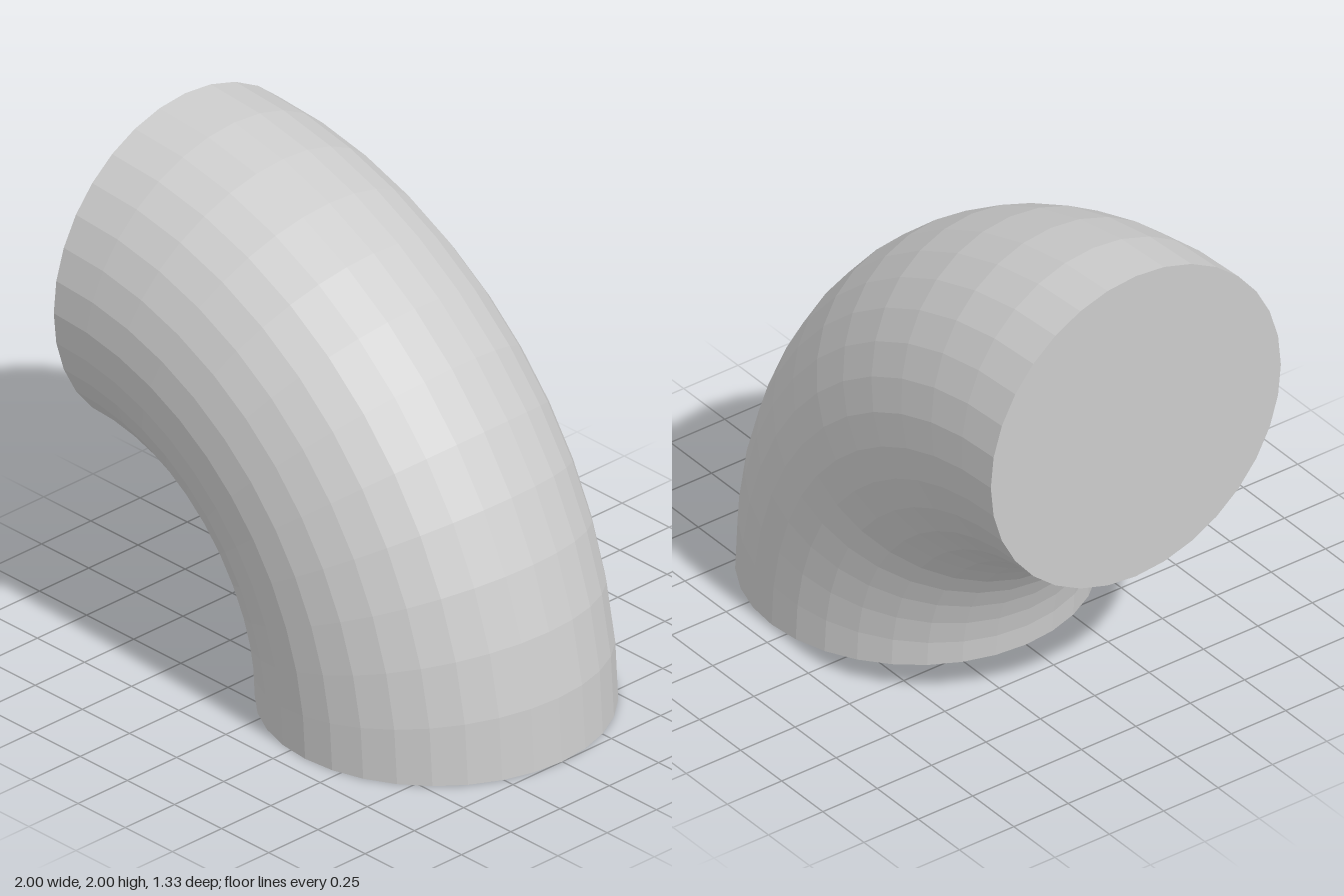
import * as THREE from 'three';

const BEND = 4 / 3;   // radius of the elbow's centre line
const PIPE = 2 / 3;   // radius of the pipe
const SIDES = 32;
const STEPS = 12;

export function createModel() {
  const group = new THREE.Group();
  group.name = 'pipeElbow';
  const material = new THREE.MeshStandardMaterial({ color: 0xcccccc, flatShading: true });

  const add = (name, geometry, x, y) => {
    const mesh = new THREE.Mesh(geometry, material);
    mesh.name = name;
    mesh.position.set(x, y, 0);
    group.add(mesh);
  };

  // Quarter-turn bend, from the floor up to the left-hand opening
  add('bend', new THREE.TorusGeometry(BEND, PIPE, SIDES, STEPS, Math.PI / 2), -1, 0);

  // Flat discs closing both ends
  add('bottomCap', new THREE.CircleGeometry(PIPE, SIDES).rotateX(Math.PI / 2), BEND - 1, 0);
  add('sideCap', new THREE.CircleGeometry(PIPE, SIDES).rotateY(-Math.PI / 2), -1, BEND);

  return group;
}
